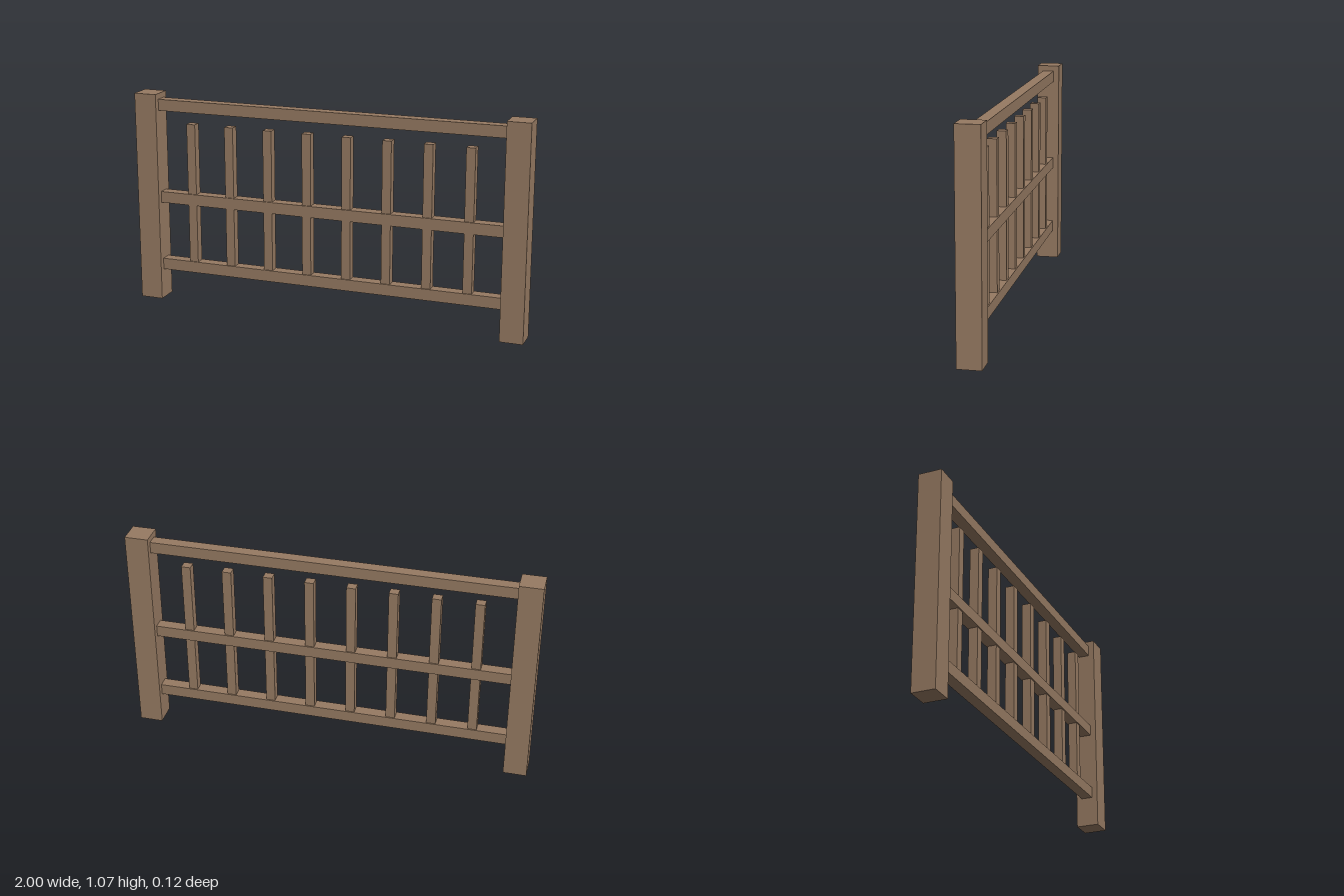
import * as THREE from 'three';

export function createModel() {
  const fence = new THREE.Group();
  fence.name = 'fence';
  const wood = new THREE.MeshStandardMaterial({ color: 0x967a62, flatShading: true });

  // Box centred on x and z = 0, spanning bottom to top in y
  function beam(name, x, bottom, top, width, depth) {
    const mesh = new THREE.Mesh(new THREE.BoxGeometry(width, top - bottom, depth), wood);
    mesh.name = name;
    mesh.position.set(x, (bottom + top) / 2, 0);
    fence.add(mesh);
  }

  // End posts
  const postWidth = 0.115, postHeight = 1.065;
  const postX = 1 - postWidth / 2;
  beam('leftPost', postX, 0, postHeight, postWidth, postWidth);
  beam('rightPost', -postX, 0, postHeight, postWidth, postWidth);

  // Horizontal rails between the posts
  const railSize = 0.057, railLength = 2 - 2 * postWidth;
  const rails = { bottomRail: 0.18, middleRail: 0.534, topRail: 1.008 };
  for (const [name, y] of Object.entries(rails)) {
    beam(name, 0, y - railSize / 2, y + railSize / 2, railLength, railSize);
  }

  // Evenly spaced balusters, standing in the bottom rail and stopping short of the top rail
  const count = 8, spacing = 0.204, balusterSize = 0.045;
  for (let i = 0; i < count; i++) {
    const x = (i - (count - 1) / 2) * spacing;
    beam('baluster' + (i + 1), x, rails.bottomRail, 0.92, balusterSize, balusterSize);
  }

  return fence;
}
